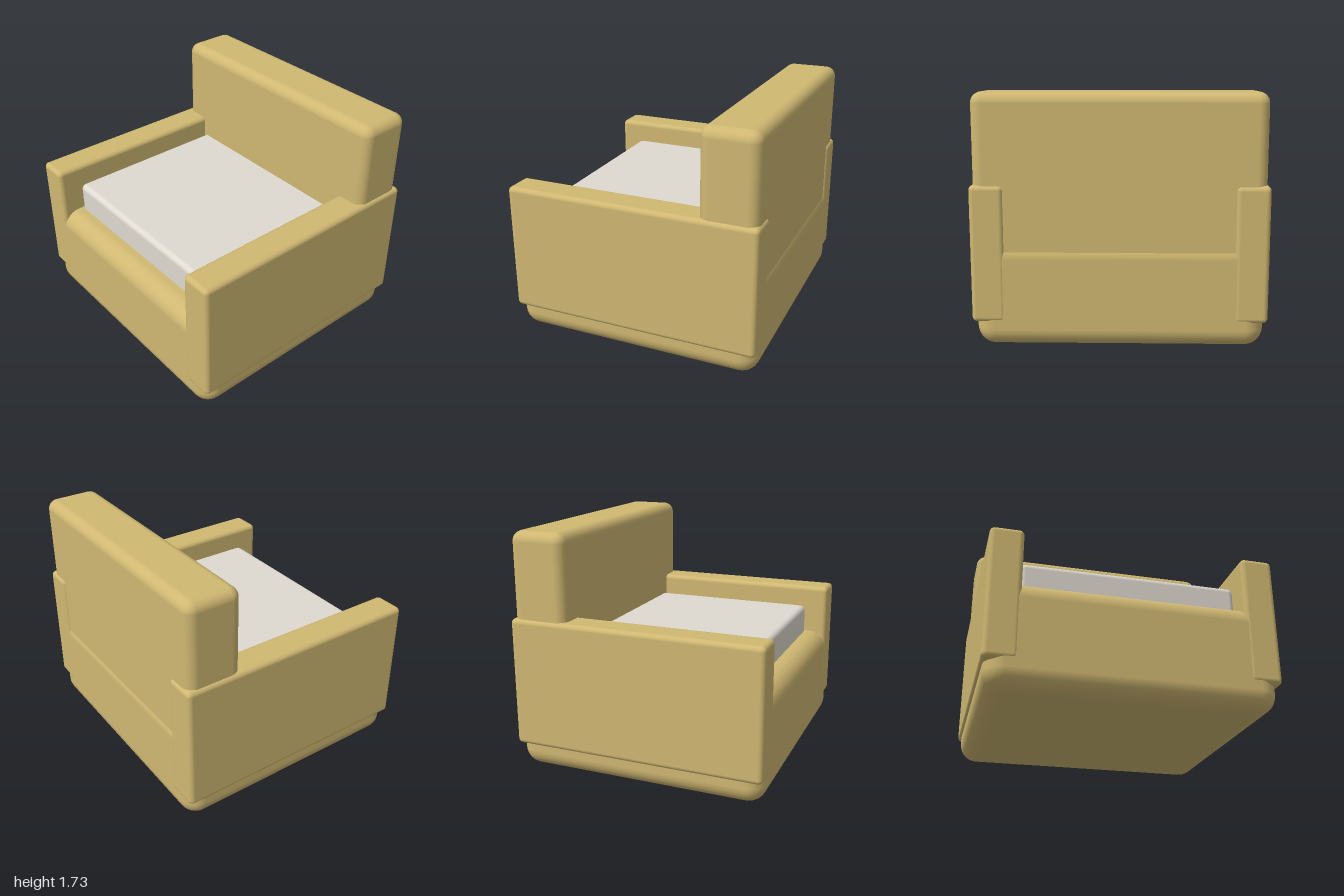
import * as THREE from 'three';
import { RoundedBoxGeometry } from 'three/addons/geometries/RoundedBoxGeometry.js';

export function createModel() {
  const group = new THREE.Group();
  const fabric = new THREE.MeshStandardMaterial({ color: 0xd0b872 });
  const cushionFabric = new THREE.MeshStandardMaterial({ color: 0xdfdad0 });

  // Rounded block given by its lower and upper corners
  function block(name, min, max, radius, segments, material) {
    const [w, h, d] = max.map((v, i) => v - min[i]);
    const mesh = new THREE.Mesh(new RoundedBoxGeometry(w, h, d, segments, radius), material);
    mesh.position.set(...max.map((v, i) => (v + min[i]) / 2));
    mesh.name = name;
    group.add(mesh);
  }

  // Plump base that rests on the floor
  block('base', [-0.98, 0, -0.921], [0.98, 0.745, 0.921], 0.13, 4, fabric);

  // Backrest and loose seat cushion
  block('backrest', [-0.98, 0.56, -0.91], [0.98, 1.73, -0.5], 0.075, 4, fabric);
  block('seatCushion', [-0.768, 0.68, -0.55], [0.768, 0.962, 0.755], 0.04, 4, cushionFabric);

  // Mirrored armrests
  for (const [name, side] of [['leftArmrest', 1], ['rightArmrest', -1]]) {
    const x = [0.768 * side, side].sort((a, b) => a - b);
    block(name, [x[0], 0.18, -0.925], [x[1], 1.118, 0.925], 0.035, 4, fabric);
  }
  return group;
}
